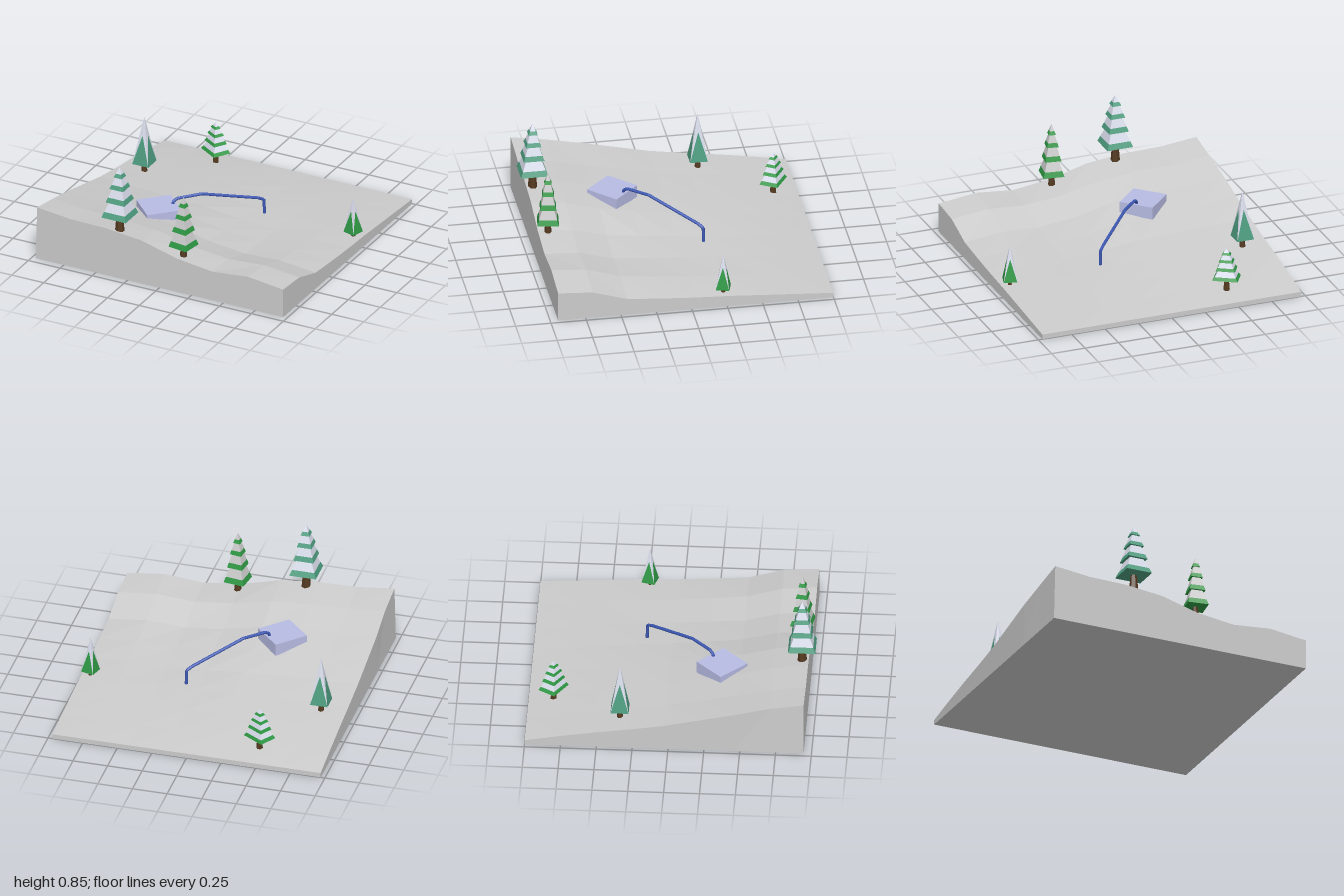
import * as THREE from 'three';

const mat = (color, extra = {}) => new THREE.MeshStandardMaterial({ color, flatShading: true, ...extra });
const BARK = mat(0x553a20), TEAL = mat(0x4e9e80), GREEN = mat(0x2f9a45), SNOW = mat(0xd8dcea), FROST = mat(0xc8ccc8);

function add(parent, name, geometry, material) {
  const mesh = new THREE.Mesh(geometry, material);
  mesh.name = name;
  parent.add(mesh);
  return mesh;
}

// Square frustum with unit-based half widths, sides aligned to the axes
function frustum(top, bottom, y0, y1) {
  const g = new THREE.CylinderGeometry(top * Math.SQRT2, bottom * Math.SQRT2, y1 - y0, 4);
  return g.rotateY(Math.PI / 4).translate(0, (y0 + y1) / 2, 0);
}

// Sloping block of land: a box whose top vertices follow edge profiles
function terrain() {
  const left = [0.035, 0.08, 0.12, 0.155, 0.195, 0.25, 0.305, 0.36, 0.4];
  const right = [0.035, 0.05, 0.065, 0.08, 0.09, 0.105, 0.125, 0.2, 0.215];
  const front = [1, 0.84, 0.81, 0.65, 0.24, 0.05, 0.19, 0];
  const g = new THREE.BoxGeometry(1.94, 1, 1.945, 7, 1, 8);
  g.translate(0, 0, -0.0275);
  const p = g.attributes.position;
  for (let n = 0; n < p.count; n++) {
    if (p.getY(n) < 0) { p.setY(n, 0); continue; }
    const i = Math.round((p.getX(n) + 0.97) / 1.94 * 7);
    const j = Math.round((p.getZ(n) + 1) / 1.945 * 8);
    const f = j / 8;
    const k = front[i] * f + (1 - i / 7) * (1 - f);
    p.setY(n, right[j] + (left[j] - right[j]) * k);
    if (i === 0 && j > 6) p.setX(n, -0.96);
  }
  g.computeVertexNormals();
  return g;
}

function treeBase(name, t) {
  const tree = new THREE.Group();
  tree.name = name;
  tree.position.set(t.x, 0, t.z);
  tree.rotation.y = t.turn || 0;
  const w = Math.min(t.w, t.d || t.w);
  const h = t.foot - t.base + 0.06;
  add(tree, 'trunk', new THREE.CylinderGeometry(w * 0.22, w * 0.38, h, 6)
    .translate(0, t.base - 0.04 + h / 2, 0), BARK);
  return tree;
}

// Fir with four tiers, each a snowy slope above a coloured skirt
function tieredTree(t) {
  const tree = treeBase('tieredTree', t);
  const starts = [0, 0.3, 0.57, 0.8, 1], widths = [1, 0.76, 0.56, 0.34];
  const necks = [0.55, 0.4, 0.24, 0], H = t.tip - t.foot;
  for (let i = 0; i < 4; i++) {
    const y0 = t.foot + starts[i] * H, y1 = t.foot + starts[i + 1] * H;
    const ym = y0 + (y1 - y0) * 0.36;
    const rm = THREE.MathUtils.lerp(widths[i], necks[i], 0.36);
    for (const [name, g, m] of [
      ['needles', frustum(rm, widths[i], y0, ym), t.leaf],
      ['snow', frustum(necks[i], rm, ym, y1), t.snow],
    ]) add(tree, name, g.scale(t.w, 1, t.d || t.w), m);
  }
  return tree;
}

// Plain pyramid tree: green triangle on each face, snow running down the corners
function pyramidTree(t) {
  const tree = treeBase('pyramidTree', t);
  const { w, foot, tip } = t, r = w * 0.43;
  const a = [-w, foot, w], b = [w, foot, w], top = [0, tip, 0];
  const m = [0, foot + (tip - foot) * 0.62, r];
  const faces = (pts) => new THREE.BufferGeometry()
    .setAttribute('position', new THREE.Float32BufferAttribute(pts.flat(), 3));
  for (let i = 0; i < 4; i++) {
    for (const [name, pts, material] of [['needles', [a, b, m], t.leaf], ['snow', [b, top, m, top, a, m], t.snow]]) {
      const g = faces(pts).rotateY(i * Math.PI / 2);
      g.computeVertexNormals();
      add(tree, name, g, material);
    }
  }
  add(tree, 'underside', new THREE.PlaneGeometry(2 * w, 2 * w).rotateX(Math.PI / 2).translate(0, foot, 0), t.leaf);
  return tree;
}

export function createModel() {
  const model = new THREE.Group();
  model.name = 'snowyHillside';
  add(model, 'terrain', terrain(), mat(0xcccccc));

  // Flat pond slab sunk into the slope
  const pond = add(model, 'pond', new THREE.BoxGeometry(0.25, 0.09, 0.25), mat(0xb8bce4));
  pond.position.set(-0.32, 0.25, 0.34);
  pond.rotation.y = Math.PI / 4;

  // Water pipe from the pond down the hill, given by z and height along a diagonal
  const path = new THREE.CurvePath();
  const pts = [[0.275, 0.28], [0.273, 0.31], [0.25, 0.33], [0.12, 0.335], [-0.18, 0.235], [-0.21, 0.215], [-0.213, 0.11]]
    .map(([z, y]) => new THREE.Vector3(-0.24 + (0.27 - z) * 0.955, y, z));
  for (let i = 1; i < pts.length; i++) path.add(new THREE.LineCurve3(pts[i - 1], pts[i]));
  add(model, 'pipe', new THREE.TubeGeometry(path, 80, 0.011, 8), mat(0x3c58b4, { flatShading: false }));

  // Trees
  model.add(
    tieredTree({ x: -0.335, z: 0.9, w: 0.096, base: 0.35, foot: 0.47, tip: 0.845, leaf: TEAL, snow: SNOW }),
    tieredTree({ x: 0.152, z: 0.875, w: 0.075, turn: -0.15, base: 0.26, foot: 0.335, tip: 0.715, leaf: GREEN, snow: FROST }),
    tieredTree({ x: -0.48, z: -0.825, w: 0.089, d: 0.067, turn: -0.56, base: 0.08, foot: 0.15, tip: 0.375, leaf: GREEN, snow: SNOW }),
    pyramidTree({ x: -0.79, z: -0.345, w: 0.063, base: 0.15, foot: 0.205, tip: 0.56, leaf: TEAL, snow: SNOW }),
    pyramidTree({ x: 0.907, z: -0.232, w: 0.048, turn: -0.28, base: 0.09, foot: 0.118, tip: 0.385, leaf: GREEN, snow: SNOW }),
  );
  return model;
}
